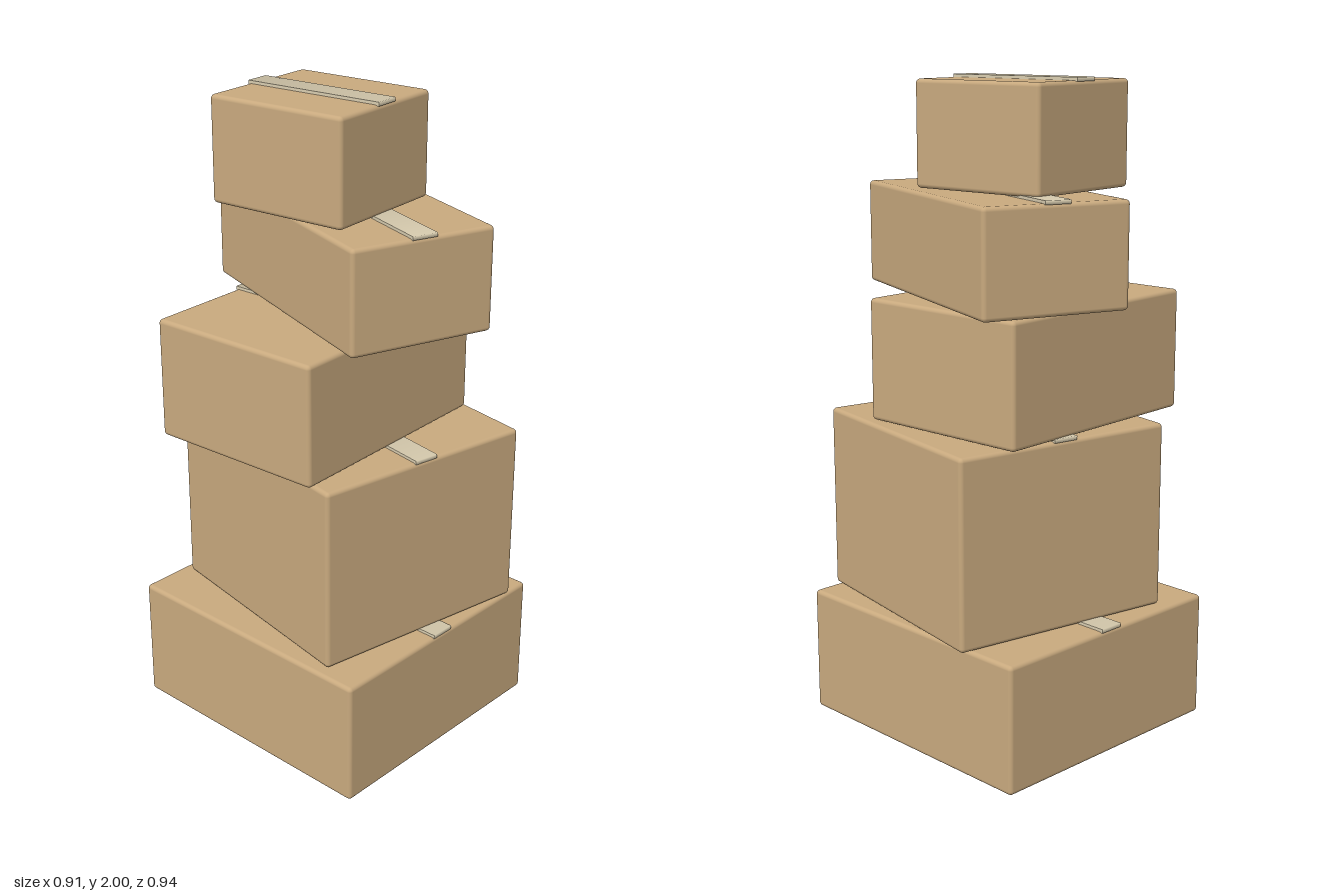
import * as THREE from 'three';
import { RoundedBoxGeometry } from 'three/addons/geometries/RoundedBoxGeometry.js';

const cardboard = new THREE.MeshStandardMaterial({ color: 0xc8a97e });
const tapeMaterial = new THREE.MeshStandardMaterial({ color: 0xd9cdb0 });

// Thin strip whose normals lean outward at both ends, for a soft sheen along its length
function tapeGeometry(length) {
  const geometry = new THREE.BoxGeometry(0.08, 0.012, length);
  const position = geometry.attributes.position;
  const normal = geometry.attributes.normal;
  const n = new THREE.Vector3();
  for (let i = 0; i < position.count; i++) {
    if (Math.abs(normal.getX(i)) > 0.5) continue;
    n.set(0, Math.sign(position.getY(i)), Math.sign(position.getZ(i))).normalize();
    normal.setXYZ(i, n.x, n.y, n.z);
  }
  return geometry;
}

// One carton standing on its own origin, with tape along the middle of its lid
function createCarton(width, height, depth) {
  const carton = new THREE.Group();
  const body = new THREE.Mesh(new RoundedBoxGeometry(width, height, depth, 3, 0.013), cardboard);
  body.name = 'cardboardBox';
  body.position.y = height / 2;
  const tape = new THREE.Mesh(tapeGeometry(depth), tapeMaterial);
  tape.name = 'packingTape';
  tape.position.y = height + 0.003;
  carton.add(body, tape);
  return carton;
}

// Cartons from bottom to top
const cartons = [
  { name: 'bottomCarton', size: [0.842, 0.395, 0.887], at: [0.005, 0, -0.003], turn: 0.071 },
  { name: 'secondCarton', size: [0.729, 0.577, 0.745], at: [0.041, 0.398, 0.016], turn: -0.105 },
  { name: 'thirdCarton', size: [0.757, 0.373, 0.58], at: [-0.042, 0.979, -0.038], turn: 0.127 },
  { name: 'fourthCarton', size: [0.46, 0.315, 0.836], at: [0.06, 1.355, -0.002], turn: -0.251 },
  { name: 'topCarton', size: [0.427, 0.317, 0.464], at: [-0.015, 1.674, -0.048], turn: 0.175 },
];

export function createModel() {
  const stack = new THREE.Group();
  stack.name = 'cartonStack';
  for (const { name, size, at, turn } of cartons) {
    const carton = createCarton(...size);
    carton.name = name;
    carton.position.set(...at);
    carton.rotation.y = turn;
    stack.add(carton);
  }
  return stack;
}
